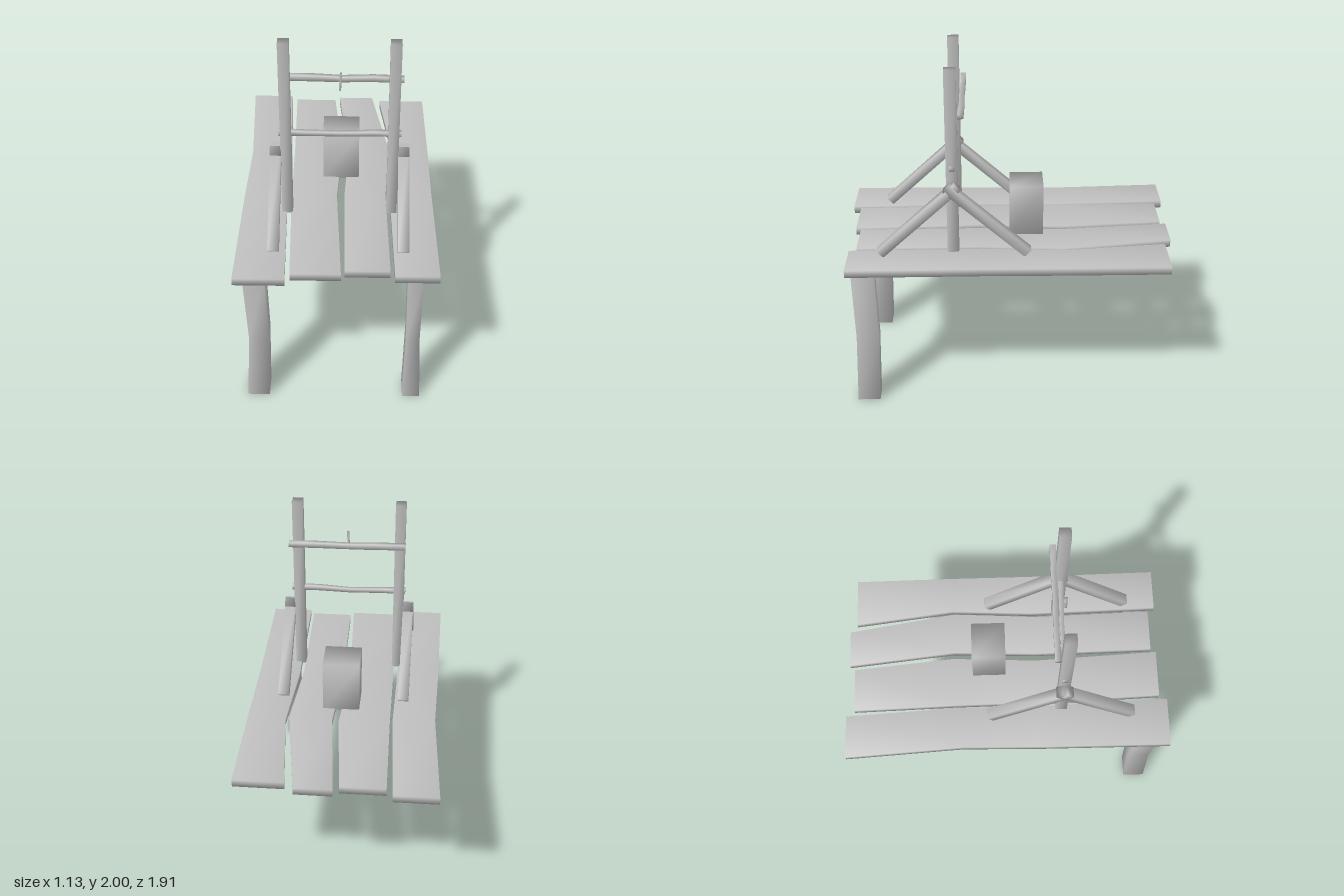
import * as THREE from 'three';

const X = new THREE.Vector3(1, 0, 0);
const Y = new THREE.Vector3(0, 1, 0);
const Z = new THREE.Vector3(0, 0, 1);

const wood = new THREE.MeshStandardMaterial({ color: 0xc0c0c0 });
wood.name = 'greyWood';

// Smooth-shaded four-sided beam. Each section is [x, y, z, size along u, size along v];
// u cross v points along the beam.
function beam(name, u, v, sections) {
  const positions = [];
  const index = [];
  for (const [x, y, z, a, b] of sections) {
    for (const [s, t] of [[-1, -1], [1, -1], [1, 1], [-1, 1]]) {
      const p = new THREE.Vector3(x, y, z)
        .addScaledVector(u, s * a / 2)
        .addScaledVector(v, t * b / 2);
      positions.push(p.x, p.y, p.z);
    }
  }
  for (let i = 0; i < sections.length - 1; i++) {
    for (let j = 0; j < 4; j++) {
      const a = i * 4 + j;
      const b = i * 4 + (j + 1) % 4;
      index.push(a, b, b + 4, a, b + 4, a + 4);
    }
  }
  const e = (sections.length - 1) * 4;
  index.push(0, 2, 1, 0, 3, 2, e, e + 1, e + 2, e, e + 2, e + 3);

  const geometry = new THREE.BufferGeometry();
  geometry.setAttribute('position', new THREE.Float32BufferAttribute(positions, 3));
  geometry.setIndex(index);
  geometry.computeVertexNormals();
  const mesh = new THREE.Mesh(geometry, wood);
  mesh.name = name;
  return mesh;
}

export function createModel() {
  const model = new THREE.Group();
  model.name = 'plankTableWithFrame';

  // Crooked deck planks: rows of [z, left edge, right edge]
  const planks = [
    [[-0.96, -0.57, -0.32], [-0.27, -0.53, -0.285], [0.2, -0.54, -0.29], [0.955, -0.545, -0.265]],
    [[-0.912, -0.285, -0.03], [-0.32, -0.27, 0.025], [0.18, -0.265, 0], [0.91, -0.24, 0.035]],
    [[-0.942, 0, 0.215], [-0.31, 0.065, 0.315], [0.18, 0.045, 0.285], [0.88, 0.055, 0.3]],
    [[-0.903, 0.265, 0.55], [-0.32, 0.335, 0.555], [0.16, 0.31, 0.555], [0.92, 0.325, 0.565]],
  ];
  planks.forEach((rows, i) => {
    model.add(beam('plank' + (i + 1), X, Y,
      rows.map(([z, l, r]) => [(l + r) / 2, 0.895, z, r - l, 0.044])));
  });

  // Two bent legs under the front end
  model.add(beam('rightLeg', Z, X, [
    [-0.438, 0.005, 0.835, 0.13, 0.125],
    [-0.423, 0.43, 0.823, 0.13, 0.11],
    [-0.438, 0.875, 0.835, 0.13, 0.12],
  ]));
  model.add(beam('leftLeg', Z, X, [
    [0.44, 0.005, 0.835, 0.13, 0.1],
    [0.437, 0.43, 0.823, 0.13, 0.075],
    [0.437, 0.875, 0.835, 0.13, 0.085],
  ]));

  // Uprights, each with a crossed pair of braces on its outer side
  for (const [side, postX, braceX] of [['right', -0.28, -0.338], ['left', 0.315, 0.373]]) {
    model.add(beam(side + 'Post', Z, X, [
      [postX, 0.91, 0.32, 0.065, 0.06],
      [postX, 2, 0.32, 0.065, 0.06],
    ]));
    for (const [end, z0, z1, top] of [['Front', 0.735, 0.29, 1.343], ['Back', -0.105, 0.352, 1.335]]) {
      const dir = new THREE.Vector3(0, top - 0.932, z1 - z0).normalize();
      const across = new THREE.Vector3().crossVectors(dir, X);
      model.add(beam(side + end + 'Brace', X, across, [
        [braceX, 0.932, z0, 0.062, 0.054],
        [braceX, top, z1, 0.062, 0.054],
      ]));
    }
  }

  // Slightly sagging cross rails
  model.add(beam('lowerRail', Y, Z, [
    [-0.318, 1.437, 0.318, 0.032, 0.03],
    [-0.18, 1.434, 0.318, 0.026, 0.028],
    [0.02, 1.429, 0.315, 0.024, 0.024],
    [0.2, 1.436, 0.318, 0.028, 0.028],
    [0.358, 1.434, 0.318, 0.026, 0.03],
  ]));
  model.add(beam('upperRail', Y, Z, [
    [-0.313, 1.755, 0.265, 0.03, 0.034],
    [-0.13, 1.752, 0.262, 0.034, 0.03],
    [0.03, 1.747, 0.265, 0.03, 0.028],
    [0.2, 1.75, 0.262, 0.032, 0.03],
    [0.365, 1.746, 0.265, 0.028, 0.034],
  ]));

  // Small peg in front of the upper rail
  model.add(beam('peg', Z, X, [
    [0.019, 1.705, 0.32, 0.016, 0.012],
    [0.025, 1.81, 0.32, 0.016, 0.012],
  ]));

  // Block standing on the deck
  model.add(beam('block', Z, X, [
    [0.022, 0.91, -0.103, 0.195, 0.212],
    [0.022, 1.225, -0.103, 0.195, 0.212],
  ]));

  return model;
}
